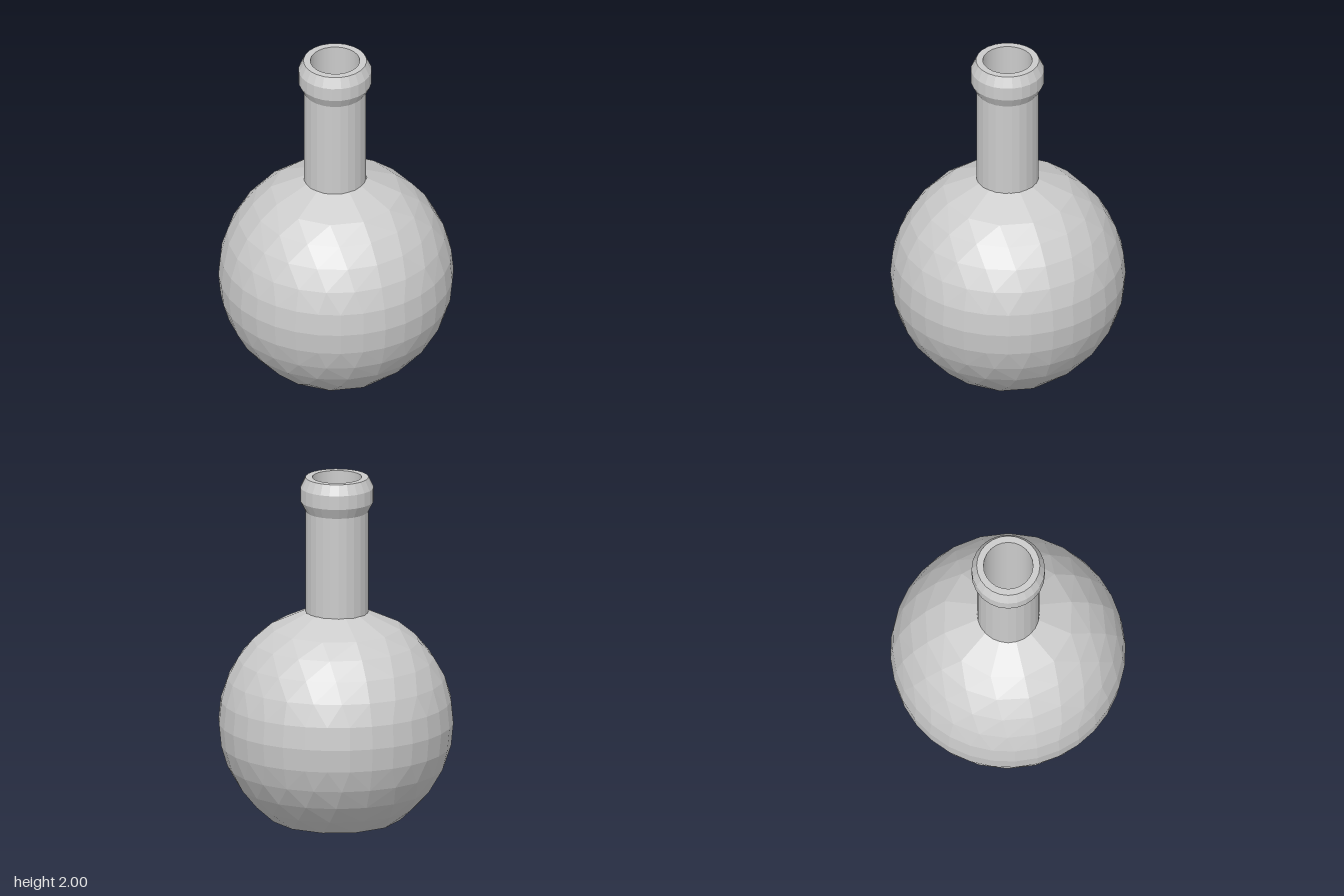
import * as THREE from 'three';

const R = 0.67, CY = 0.565, SIDES = 24;

// Ring of n points on a horizontal circle, starting at +z and turning towards +x
function ring(r, y, n) {
  return Array.from({ length: n }, (_, i) => {
    const a = (i / n) * Math.PI * 2;
    return new THREE.Vector3(r * Math.sin(a), y, r * Math.cos(a));
  });
}

// Joins two rings with different point counts by stepping round in angle order
function stitch(low, high, out) {
  const a = low.length, b = high.length;
  let i = 0, j = 0;
  while (i < a || j < b) {
    const stepLow = j >= b || (i < a && (i + 0.5) / a <= (j + 0.5) / b);
    const p = low[i % a], q = high[j % b];
    if (stepLow) out.push(p, low[++i % a], q);
    else out.push(p, high[++j % b], q);
  }
}

function lathe(points, sides) {
  return new THREE.LatheGeometry(points.map(([r, y]) => new THREE.Vector2(r, y)), sides);
}

export function createModel() {
  const group = new THREE.Group();
  const flat = new THREE.MeshStandardMaterial({ color: 0xcccccc, flatShading: true });
  const smooth = new THREE.MeshStandardMaterial({ color: 0xcccccc, side: THREE.DoubleSide });
  const add = (name, geometry, material) => {
    const mesh = new THREE.Mesh(geometry, material);
    mesh.name = name;
    group.add(mesh);
    return mesh;
  };

  // Round body: fewer facets in each ring away from the equator
  const counts = [32, 32, 24, 20, 16, 12];
  const rings = [];
  for (let k = -5; k <= 5; k++) {
    const t = (k * Math.PI) / 16;
    const y = k === -5 ? 0 : CY + R * Math.sin(t);
    rings.push(ring(R * Math.cos(t), y, counts[Math.abs(k)]));
  }
  rings.push(ring(0.176, 1.212, 12));
  const triangles = [];
  for (let k = 0; k < rings.length - 1; k++) stitch(rings[k], rings[k + 1], triangles);
  const bodyGeometry = new THREE.BufferGeometry().setFromPoints(triangles);
  bodyGeometry.computeVertexNormals();
  add('body', bodyGeometry, flat);

  // Flat underside
  const baseRadius = R * Math.cos((5 * Math.PI) / 16);
  add('base', new THREE.CircleGeometry(baseRadius, 12).rotateX(Math.PI / 2), flat);

  // Neck, raised lip and hollow inside share an axis slightly off the body centre
  const axisX = -0.006;
  add('neck', lathe([[0.178, 1.19], [0.178, 1.8]], SIDES), flat).position.x = axisX;
  add('lip', lathe([[0.178, 1.8], [0.209, 1.86], [0.209, 1.94], [0.18, 2], [0.141, 2]], SIDES), flat)
    .position.x = axisX;
  add('bore', lathe([[0.141, 2], [0.141, 1.17]], SIDES), smooth).position.x = axisX;

  // Inner cavity with a flat floor
  const cavity = [[0.141, 1.17]];
  for (let k = 6; k >= -4; k--) {
    const t = (k * Math.PI) / 16;
    cavity.push([0.62 * Math.cos(t), CY + 0.62 * Math.sin(t)]);
  }
  cavity.push([0.34, 0.05], [0, 0.05]);
  add('cavity', lathe(cavity, SIDES), flat).position.x = axisX;

  return group;
}
